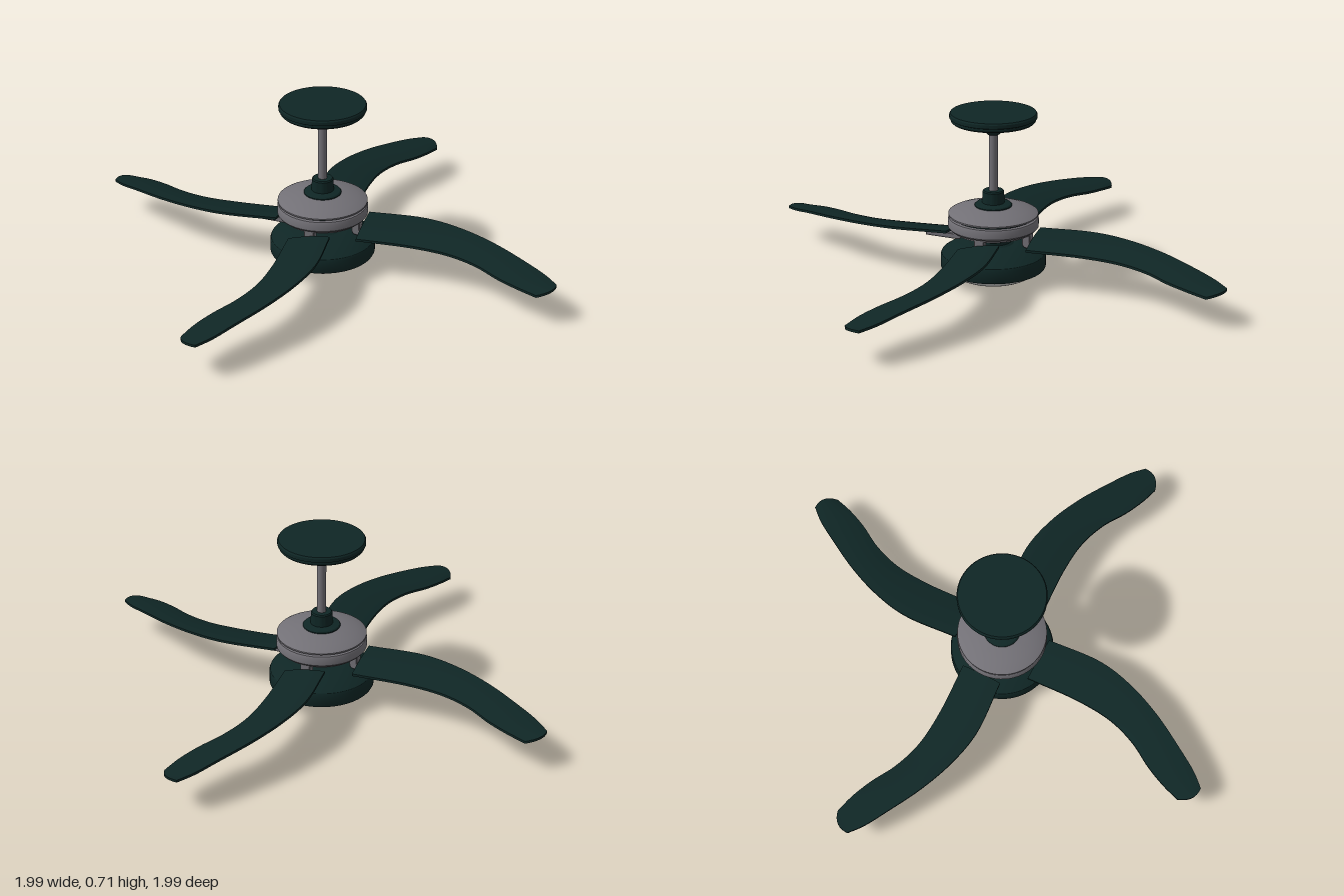
import * as THREE from 'three';
import { toCreasedNormals } from 'three/addons/utils/BufferGeometryUtils.js';

const darkGreen = new THREE.MeshStandardMaterial({ name: 'dark green enamel', color: 0x0f2625 });
const metal = new THREE.MeshStandardMaterial({ name: 'grey metal', color: 0x727076 });
const glass = new THREE.MeshStandardMaterial({ name: 'frosted glass', color: 0xc8c8c6 });

function add(parent, name, geometry, material) {
  const mesh = new THREE.Mesh(geometry, material);
  mesh.name = name;
  parent.add(mesh);
  return mesh;
}

// Turned part from [radius, height] pairs, listed bottom to top
function turned(parent, name, profile, material, crease = 0.5) {
  const points = profile.map(([r, y]) => new THREE.Vector2(r, y));
  return add(parent, name, toCreasedNormals(new THREE.LatheGeometry(points, 64), crease), material);
}

// Curved, pitched blade: sections swept between a leading and a trailing edge
function bladeGeometry() {
  const curve = (pts) => new THREE.CatmullRomCurve3(pts.map((p) => new THREE.Vector3(...p)));
  const lead = curve([[0.17, 0.21, -0.09], [0.4, 0.209, -0.115], [0.55, 0.202, -0.092],
    [0.7, 0.189, -0.04], [0.85, 0.17, 0.035], [0.94, 0.155, 0.085], [0.995, 0.145, 0.128]]);
  const trail = curve([[0.17, 0.172, 0.085], [0.4, 0.17, 0.064], [0.55, 0.165, 0.07],
    [0.67, 0.158, 0.105], [0.77, 0.148, 0.157], [0.86, 0.14, 0.192], [0.935, 0.131, 0.211]]);
  const rows = 36, cols = 8, half = 0.005, ring = 2 * (cols + 1);
  const positions = [], index = [];
  for (let i = 0; i <= rows; i++) {
    const t = i / rows, a = lead.getPoint(t), b = trail.getPoint(t);
    const bulge = 0.018 * t ** 12;
    for (let k = 0; k < ring; k++) {
      const top = k <= cols;
      const s = (top ? k : ring - 1 - k) / cols;
      const arch = 4 * s * (1 - s);
      const p = a.clone().lerp(b, s);
      positions.push(p.x + bulge * arch, p.y + 0.006 * arch + (top ? half : -half), p.z + bulge * 0.6 * arch);
    }
  }
  for (let i = 0; i < rows; i++) {
    for (let k = 0; k < ring; k++) {
      const a = i * ring + k, b = i * ring + (k + 1) % ring;
      index.push(a, b, a + ring, b, b + ring, a + ring);
    }
  }
  // End caps
  const last = rows * ring;
  for (let j = 0; j < cols; j++) {
    const t0 = j, t1 = j + 1, b0 = ring - 1 - j, b1 = ring - 2 - j;
    index.push(t0, b0, t1, t1, b0, b1);
    index.push(last + t0, last + t1, last + b0, last + t1, last + b1, last + b0);
  }
  const geometry = new THREE.BufferGeometry();
  geometry.setAttribute('position', new THREE.Float32BufferAttribute(positions, 3));
  geometry.setIndex(index);
  return toCreasedNormals(geometry, 0.6);
}

// Bent arm running from under the motor out beneath a blade
function armGeometry() {
  const s = new THREE.Shape();
  s.moveTo(0.133, 0.225);
  s.lineTo(0.133, 0.18);
  s.quadraticCurveTo(0.133, 0.162, 0.152, 0.162);
  s.lineTo(0.285, 0.164);
  s.lineTo(0.285, 0.18);
  s.lineTo(0.168, 0.18);
  s.quadraticCurveTo(0.16, 0.18, 0.16, 0.188);
  s.lineTo(0.16, 0.225);
  s.closePath();
  const geometry = new THREE.ExtrudeGeometry(s, {
    depth: 0.036, curveSegments: 6, bevelEnabled: true, bevelSize: 0.003, bevelThickness: 0.003, bevelSegments: 1,
  });
  geometry.translate(0, 0, -0.018);
  return geometry;
}

export function createModel() {
  const fan = new THREE.Group();
  fan.name = 'ceilingFan';

  // Ceiling mount and hanging rod
  turned(fan, 'canopy', [[0, 0.613], [0.024, 0.616], [0.037, 0.63], [0.04, 0.645], [0.05, 0.65],
    [0.12, 0.659], [0.162, 0.667], [0.168, 0.673], [0.168, 0.683], [0.174, 0.686], [0.174, 0.7],
    [0.17, 0.706], [0, 0.706]], darkGreen);
  add(fan, 'hangingRod', new THREE.CylinderGeometry(0.018, 0.018, 0.27, 32), metal).position.y = 0.49;
  turned(fan, 'rodCoupler', [[0.075, 0.305], [0.075, 0.322], [0.07, 0.327], [0.045, 0.332],
    [0.043, 0.378], [0.039, 0.383], [0, 0.383]], darkGreen);

  // Motor housing in two halves with a dark seam
  turned(fan, 'motorTop', [[0.155, 0.282], [0.181, 0.282], [0.181, 0.288], [0.172, 0.293],
    [0.14, 0.304], [0.1, 0.315], [0.06, 0.32]], metal);
  turned(fan, 'motorSeam', [[0.165, 0.268], [0.165, 0.284]], darkGreen);
  turned(fan, 'motorBody', [[0, 0.212], [0.15, 0.212], [0.165, 0.217], [0.165, 0.224], [0.178, 0.228],
    [0.183, 0.235], [0.183, 0.264], [0.179, 0.272], [0.155, 0.274]], metal);

  // Light kit below the motor
  turned(fan, 'neck', [[0.1, 0.15], [0.075, 0.17], [0.075, 0.182], [0.1, 0.205], [0.1, 0.214]], darkGreen);
  turned(fan, 'lightHousing', [[0.18, 0.072], [0.185, 0.06], [0.21, 0.06], [0.213, 0.066], [0.213, 0.112],
    [0.209, 0.122], [0.19, 0.135], [0.16, 0.148], [0.13, 0.158], [0.1, 0.163], [0, 0.163]], darkGreen);
  const lens = [];
  for (let i = 0; i <= 14; i++) {
    const a = (i / 14) * Math.PI / 2;
    lens.push([0.188 * Math.sin(a), 0.066 * (1 - Math.cos(a))]);
  }
  turned(fan, 'lightLens', lens, glass, 1);

  // Four blades with their arms
  const blade = bladeGeometry(), arm = armGeometry();
  for (let i = 0; i < 4; i++) {
    const unit = new THREE.Group();
    unit.name = 'bladeUnit';
    unit.rotation.y = i * Math.PI / 2;
    add(unit, 'blade', blade, darkGreen);
    add(unit, 'bladeArm', arm, metal);
    fan.add(unit);
  }
  return fan;
}
